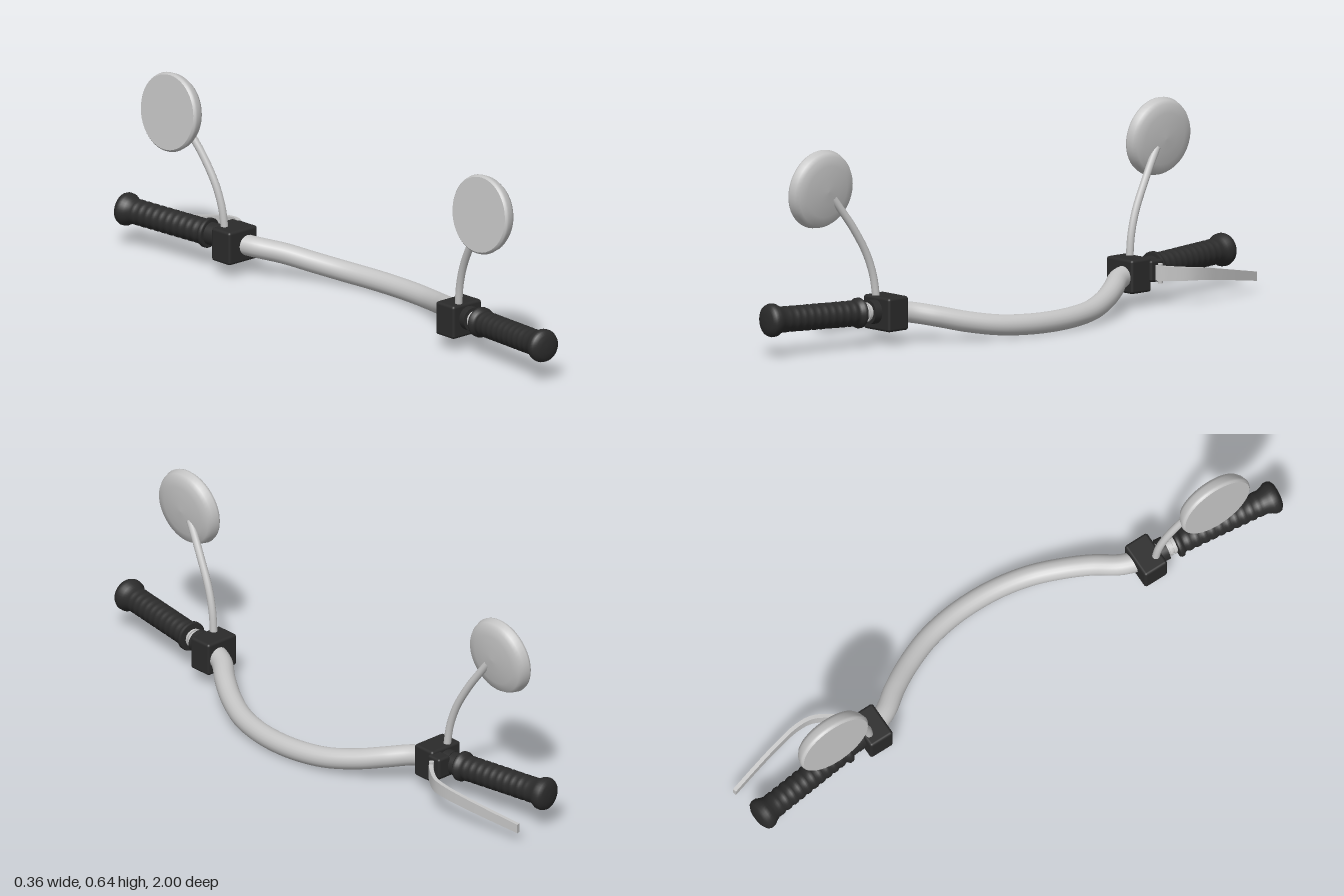
import * as THREE from 'three';
import { RoundedBoxGeometry } from 'three/addons/geometries/RoundedBoxGeometry.js';

const V = (x, y, z) => new THREE.Vector3(x, y, z);
const UP = V(0, 1, 0);

export function createModel() {
  const model = new THREE.Group();
  model.name = 'handlebar';
  const metal = new THREE.MeshStandardMaterial({ color: 0xc4c4c4 });
  metal.name = 'brushed metal';
  const rubber = new THREE.MeshStandardMaterial({ color: 0x2b2b2b });
  rubber.name = 'black rubber';

  const add = (name, geometry, material, parent = model) => {
    const mesh = new THREE.Mesh(geometry, material);
    mesh.name = name;
    parent.add(mesh);
    return mesh;
  };
  const curve = (points) => new THREE.CatmullRomCurve3(points.map((p) => V(...p)));
  const lathe = (profile, segments = 40) =>
    new THREE.LatheGeometry(profile.map(([r, y]) => new THREE.Vector2(r, y)), segments);

  // Main bar: one half, mirrored across z = 0
  const half = [[0.137, 0.036, 0.1], [0.114, 0.043, 0.2], [0.07, 0.06, 0.3], [0.022, 0.08, 0.38],
    [-0.03, 0.095, 0.45], [-0.058, 0.102, 0.52]];
  const barPoints = [...half.map(([x, y, z]) => [x, y, -z]).reverse(), [0.144, 0.034, 0], ...half];
  add('bar', new THREE.TubeGeometry(curve(barPoints), 80, 0.034, 20), metal);

  // Grip profile along its axis: inner flange, ribbed sleeve, flared domed end
  const length = 0.372;
  const gripProfile = [[0, 0], [0.046, 0], [0.049, 0.004], [0.049, 0.014], [0.041, 0.02]];
  for (let i = 0; i < 10; i++) {
    const y = 0.028 + i * 0.028;
    gripProfile.push([0.038, y], [0.042, y + 0.008], [0.042, y + 0.019]);
  }
  gripProfile.push([0.041, 0.31], [0.046, 0.325], [0.053, 0.337], [0.054, 0.35],
    [0.05, 0.36], [0.037, 0.368], [0.02, 0.371], [0, length]);

  // Mirror housing profile, from the glass rim to the top of the dome
  const mirrorProfile = [[0.122, 0], [0.127, 0.005], [0.129, 0.012], [0.123, 0.032], [0.114, 0.045],
    [0.085, 0.051], [0.045, 0.056], [0, 0.058]];

  for (const s of [1, -1]) {
    const side = new THREE.Group();
    side.name = s > 0 ? 'frontEnd' : 'backEnd';
    model.add(side);

    // Switch housing
    add('switchHousing', new RoundedBoxGeometry(0.124, 0.11, 0.086, 3, 0.009), rubber, side)
      .position.set(-0.063, 0.1, s * 0.525);

    // Straight end of the bar, collars and grip share one axis
    const axis = new THREE.Group();
    axis.name = 'gripAssembly';
    axis.position.set(-0.069, 0.109, s * 0.63);
    axis.quaternion.setFromUnitVectors(UP, V(-0.047, 0.011, s * 0.367).normalize());
    side.add(axis);
    const ring = (name, r, from, to, mat) =>
      add(name, new THREE.CylinderGeometry(r, r, to - from, 32), mat, axis).position.y = (from + to) / 2;
    ring('barEnd', 0.027, -0.12, 0.02, metal);
    ring('clampRing', 0.039, -0.058, -0.032, rubber);
    if (s > 0) {
      ring('metalCollar', 0.031, -0.026, -0.019, metal);
      ring('metalCollar', 0.031, -0.012, -0.005, metal);
    } else {
      ring('leverSleeve', 0.037, -0.08, 0.004, rubber);
    }
    add('grip', lathe(gripProfile, 36), rubber, axis);

    // Mirror stalk
    const stalk = curve([[-0.084, 0.14, s * 0.547], [-0.088, 0.22, s * 0.558], [-0.094, 0.295, s * 0.583],
      [-0.104, 0.38, s * 0.63], [-0.114, 0.435, s * 0.667], [-0.122, 0.482, s * 0.7]]);
    add('mirrorStalk', new THREE.TubeGeometry(stalk, 32, 0.0125, 12), metal, side);

    // Round mirror, dome towards +x and glass towards -x
    const mirror = new THREE.Group();
    mirror.name = 'mirror';
    mirror.position.set(-0.166, 0.512, s * 0.73);
    mirror.quaternion.setFromUnitVectors(UP, V(0.993, -0.115, 0).normalize());
    side.add(mirror);
    add('mirrorHousing', lathe(mirrorProfile, 48), metal, mirror);
    add('mirrorGlass', new THREE.CircleGeometry(0.122, 48), metal, mirror).rotation.x = Math.PI / 2;
  }

  // Brake lever bracket
  add('leverBracket', new RoundedBoxGeometry(0.05, 0.07, 0.055, 3, 0.008), rubber)
    .position.set(-0.016, 0.112, -0.583);

  // Brake lever: a box bent along a curve, tapering towards the tip
  const path = curve([[-0.01, 0.107, -0.578], [0.018, 0.106, -0.584], [0.045, 0.104, -0.615], [0.073, 0.101, -0.665],
    [0.078, 0.096, -0.72], [0.066, 0.083, -0.8], [0.046, 0.067, -0.89], [0.02, 0.048, -0.995]]);
  const lever = new THREE.BoxGeometry(1, 1, 1, 1, 1, 40);
  const pos = lever.attributes.position;
  for (let i = 0; i < pos.count; i++) {
    const t = pos.getZ(i) + 0.5;
    const across = UP.clone().cross(path.getPoint(t).clone().copy(path.getTangent(t))).normalize();
    const p = path.getPoint(t).addScaledVector(across, pos.getX(i) * 0.013);
    p.y += pos.getY(i) * THREE.MathUtils.lerp(0.052, 0.03, t);
    pos.setXYZ(i, p.x, p.y, p.z);
  }
  lever.computeVertexNormals();
  add('brakeLever', lever, metal);

  // Lever pivot pin
  add('leverPivot', new THREE.CylinderGeometry(0.008, 0.008, 0.064, 16), metal).position.set(0.019, 0.105, -0.586);

  return model;
}
